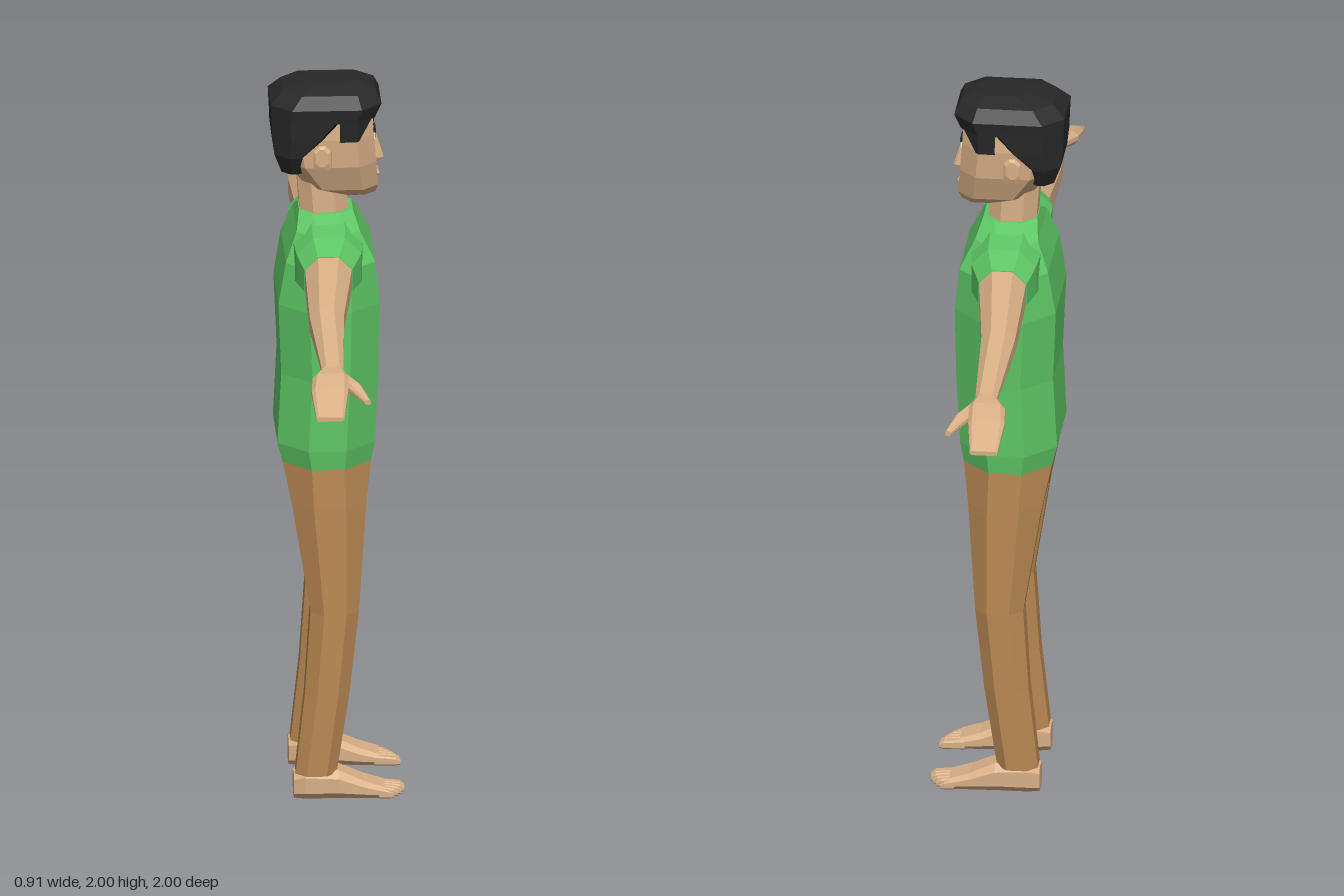
import * as THREE from 'three';

const mat = (name, color) => {
  const m = new THREE.MeshStandardMaterial({ color });
  m.name = name;
  return m;
};

// Eight-sided outline: a box a0..a1 by b0..b1 with cut corners (c0 on the a0 side, c1 on the a1 side)
const outline = (a0, a1, b0, b1, c1, c0 = c1) => [
  [a0 + c0, b1], [a1 - c1, b1], [a1, b1 - c1], [a1, b0 + c1],
  [a1 - c1, b0], [a0 + c0, b0], [a0, b0 + c0], [a0, b1 - c0],
];

// Rings across each axis
const ringY = (y, x0, x1, z0, z1, c, ci) => outline(x0, x1, z0, z1, c, ci).map(([x, z]) => [x, y, z]);
const ringX = (x, y0, y1, z0, z1, c) => outline(z0, z1, y0, y1, c).map(([z, y]) => [x, y, z]);
const ringZ = (z, x0, x1, y0, y1, c) => outline(x0, x1, y0, y1, c).map(([x, y]) => [x, y, z]).reverse();
const symY = (y, h, z0, z1, c) => ringY(y, -h, h, z0, z1, c);

// Faceted skin over a series of rings, capped at both ends; side -1 mirrors it in x
function loft(rings, side = 1) {
  const p = [];
  const tri = (a, b, c) => {
    for (const v of side > 0 ? [a, b, c] : [a, c, b]) p.push(v[0] * side, v[1], v[2]);
  };
  const n = rings[0].length;
  for (let i = 0; i < rings.length - 1; i++) {
    const a = rings[i], b = rings[i + 1];
    for (let j = 0; j < n; j++) {
      const k = (j + 1) % n;
      tri(a[j], a[k], b[k]);
      tri(a[j], b[k], b[j]);
    }
  }
  const first = rings[0], last = rings[rings.length - 1];
  for (let j = 1; j < n - 1; j++) {
    tri(first[0], first[j + 1], first[j]);
    tri(last[0], last[j], last[j + 1]);
  }
  const g = new THREE.BufferGeometry();
  g.setAttribute('position', new THREE.Float32BufferAttribute(p, 3));
  g.computeVertexNormals();
  return g;
}

export function createModel() {
  const skin = mat('skin', 0xd9b087);
  const shirt = mat('shirt green', 0x5fc866);
  const pants = mat('trouser brown', 0xbb8a54);
  const hair = mat('hair black', 0x282828);
  const white = mat('eye white', 0xe6e2dc);
  const dark = mat('iris dark', 0x2a211c);

  const model = new THREE.Group();
  const body = new THREE.Group();
  body.name = 'body';
  body.rotation.y = THREE.MathUtils.degToRad(68);
  body.position.set(0.035, 0, 0.02);
  model.add(body);

  const add = (name, geometry, material) => {
    const m = new THREE.Mesh(geometry, material);
    m.name = name;
    body.add(m);
    return m;
  };
  const plate = (name, w, h, d, x, y, z, material) =>
    add(name, new THREE.BoxGeometry(w, h, d), material).position.set(x, y, z);

  // Shirt body
  add('shirtBody', loft([
    symY(0.945, 0.188, -0.118, 0.12, 0.075),
    symY(1.0, 0.195, -0.132, 0.13, 0.08),
    symY(1.2, 0.2, -0.122, 0.14, 0.08),
    symY(1.4, 0.21, -0.13, 0.143, 0.08),
    symY(1.52, 0.205, -0.11, 0.13, 0.07),
    symY(1.6, 0.165, -0.08, 0.09, 0.055),
    symY(1.638, 0.075, -0.07, 0.075, 0.035),
  ]), shirt);

  // Neck and head
  add('neck', loft([
    symY(1.6, 0.07, -0.065, 0.065, 0.035),
    symY(1.74, 0.066, -0.075, 0.055, 0.035),
  ]), skin);
  add('head', loft([
    symY(1.68, 0.048, 0.03, 0.137, 0.03),
    symY(1.705, 0.08, -0.05, 0.143, 0.042),
    symY(1.78, 0.11, -0.105, 0.137, 0.048),
    symY(1.86, 0.118, -0.12, 0.13, 0.048),
    symY(1.94, 0.112, -0.12, 0.125, 0.048),
  ]), skin);
  add('nose', loft([
    symY(1.762, 0.013, 0.11, 0.143, 0.005),
    symY(1.774, 0.018, 0.11, 0.16, 0.007),
    symY(1.85, 0.009, 0.11, 0.136, 0.004),
  ]), skin);
  add('lips', loft([
    symY(1.722, 0.02, 0.12, 0.143, 0.006),
    symY(1.731, 0.028, 0.12, 0.148, 0.008),
    symY(1.742, 0.02, 0.12, 0.143, 0.006),
  ]), skin);

  // Hair: crown and back
  add('hairCrown', loft([
    symY(1.91, 0.126, -0.146, 0.132, 0.05),
    symY(1.95, 0.132, -0.148, 0.15, 0.055),
    symY(1.983, 0.105, -0.115, 0.135, 0.05),
    symY(2.0, 0.055, -0.05, 0.095, 0.03),
  ]), hair);
  add('hairBack', loft([
    symY(1.755, 0.088, -0.118, -0.05, 0.025),
    symY(1.81, 0.118, -0.138, -0.03, 0.04),
    symY(1.86, 0.126, -0.144, 0.03, 0.05),
    symY(1.92, 0.128, -0.146, 0.08, 0.05),
  ]), hair);

  for (const s of [1, -1]) {
    const side = s > 0 ? 'left' : 'right';
    const part = (name, rings, material) => add(side + name, loft(rings, s), material);

    // Face details
    plate(side + 'EyeWhite', 0.032, 0.014, 0.008, s * 0.047, 1.851, 0.131, white);
    plate(side + 'Iris', 0.014, 0.015, 0.009, s * 0.045, 1.851, 0.132, dark);
    plate(side + 'Brow', 0.046, 0.009, 0.009, s * 0.047, 1.872, 0.131, hair);
    part('Ear', [
      ringX(0.105, 1.785, 1.835, -0.02, 0.015, 0.01),
      ringX(0.128, 1.775, 1.848, -0.035, 0.012, 0.014),
      ringX(0.134, 1.79, 1.84, -0.03, 0.004, 0.012),
    ], skin);
    part('HairTemple', [
      ringY(1.855, 0.1, 0.12, 0.03, 0.088, 0.008),
      ringY(1.93, 0.065, 0.127, 0.0, 0.135, 0.05, 0.01),
    ], hair);

    // Sleeve, arm, hand
    part('Sleeve', [
      ringX(0.1, 1.42, 1.622, -0.09, 0.1, 0.05),
      ringX(0.2, 1.442, 1.612, -0.085, 0.09, 0.045),
      ringX(0.28, 1.453, 1.587, -0.068, 0.062, 0.036),
    ], shirt);
    part('Arm', [
      ringX(0.278, 1.455, 1.585, -0.066, 0.06, 0.035),
      ringX(0.55, 1.447, 1.54, -0.068, 0.024, 0.026),
      ringX(0.84, 1.443, 1.477, -0.05, 0.008, 0.011),
    ], skin);
    part('Hand', [
      ringX(0.835, 1.443, 1.477, -0.05, 0.008, 0.011),
      ringX(0.89, 1.435, 1.474, -0.078, 0.02, 0.013),
      ringX(0.96, 1.425, 1.457, -0.084, 0.014, 0.01),
      ringX(1.065, 1.399, 1.411, -0.076, -0.002, 0.004),
    ], skin);
    part('Thumb', [
      ringX(0.855, 1.438, 1.468, -0.02, 0.012, 0.008),
      ringX(0.92, 1.428, 1.456, 0.012, 0.052, 0.008),
      ringX(0.988, 1.417, 1.431, 0.057, 0.074, 0.004),
    ], skin);

    // Trouser leg, with the two inner faces meeting above the crotch
    part('TrouserLeg', [
      ringY(0.07, 0.08, 0.187, -0.085, 0.025, 0.028),
      ringY(0.3, 0.073, 0.19, -0.06, 0.06, 0.032),
      ringY(0.53, 0.062, 0.192, -0.045, 0.085, 0.035),
      ringY(0.81, 0.044, 0.19, -0.09, 0.105, 0.055, 0.035),
      ringY(0.835, 0, 0.19, -0.095, 0.107, 0.058, 0.002),
      ringY(0.946, 0, 0.188, -0.118, 0.12, 0.075, 0.002),
    ], pants);

    // Foot and toes
    part('Foot', [
      ringZ(0.155, 0.085, 0.178, 0, 0.03, 0.01),
      ringZ(0.1, 0.083, 0.18, 0, 0.048, 0.014),
      ringZ(0.03, 0.083, 0.183, 0, 0.08, 0.02),
      ringZ(-0.06, 0.085, 0.183, 0, 0.085, 0.02),
      ringZ(-0.09, 0.1, 0.168, 0, 0.07, 0.015),
    ].reverse(), skin);
    for (let i = 0; i < 5; i++) {
      const x = [0.097, 0.118, 0.136, 0.153, 0.169][i];
      const h = i ? 0.009 : 0.0135;
      const tip = [0.21, 0.208, 0.2, 0.19, 0.178][i];
      part('Toe' + (i + 1), [
        ringZ(0.14, x - h, x + h, 0.001, 0.028, 0.004),
        ringZ(tip - 0.012, x - h, x + h, 0, 0.022, 0.004),
        ringZ(tip, x - h * 0.7, x + h * 0.7, 0.001, 0.014, 0.003),
      ], skin);
    }
  }
  return model;
}
